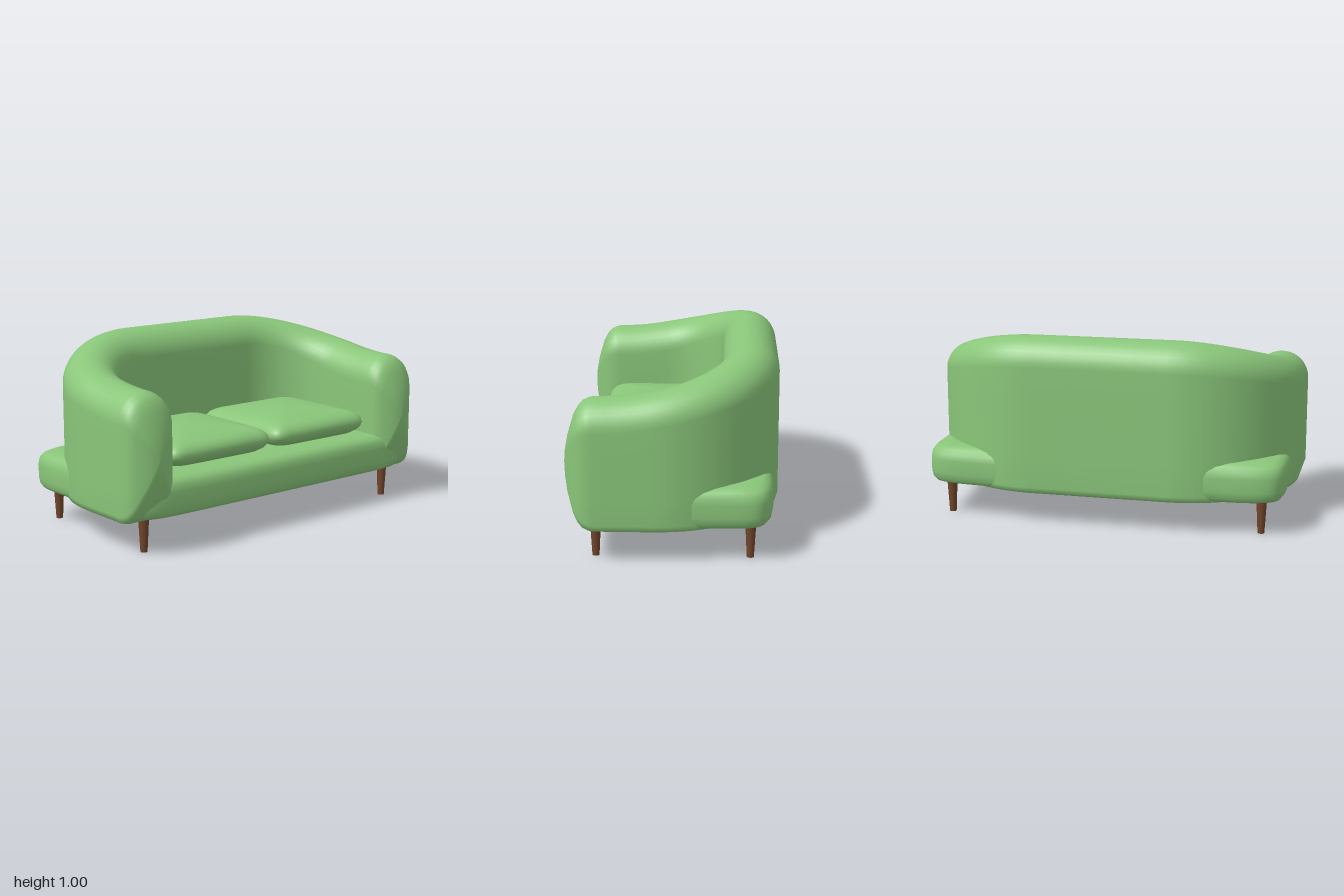
import * as THREE from 'three';

const fabric = new THREE.MeshStandardMaterial({ color: 0x8ac67a });
fabric.name = 'green fabric';
const wood = new THREE.MeshStandardMaterial({ color: 0x70452b });
wood.name = 'brown wood';

// Skins a list of closed rings (equal point counts) with smooth normals.
function loft(rings) {
  const n = rings[0].length;
  const index = [];
  for (let i = 0; i < rings.length - 1; i++) {
    for (let j = 0; j < n; j++) {
      const a = i * n + j, b = i * n + (j + 1) % n;
      index.push(a, b, b + n, a, b + n, a + n);
    }
  }
  const geo = new THREE.BufferGeometry();
  geo.setAttribute('position', new THREE.Float32BufferAttribute(rings.flat(2), 3));
  geo.setIndex(index);
  geo.computeVertexNormals();
  return geo;
}

// Padded block: soft-cornered plan, profile given as [inset, y] from bottom to top.
function paddedBlock(halfW, halfD, profile) {
  const soft = v => Math.sign(v) * Math.pow(Math.abs(v), 0.2);
  return loft(profile.map(([inset, y]) => {
    const ring = [];
    for (let k = 0; k < 72; k++) {
      const t = (k / 72) * Math.PI * 2;
      ring.push([(halfW - inset) * soft(Math.cos(t)), y, -(halfD - inset) * soft(Math.sin(t))]);
    }
    return ring;
  }));
}

// Wraparound backrest and arms: a round-topped section swept along a U path.
function wraparound() {
  const half = 0.148, bottom = 0.165, midY = 0.495;
  const armX = 0.852, frontZ = 0.39, cornerX = 0.367, cornerZ = 0.095, radius = armX - cornerX;

  const topAt = z => 0.825 + 0.175 * Math.pow(Math.max(0, (frontZ - z) / 0.78), 1.85);

  // Section points [outward offset, y], up the outside and down the inside
  const section = top => {
    const shoulder = top - half;
    const outer = [[0.11, bottom], [0.138, bottom + 0.01], [half, bottom + 0.04]];
    for (let k = 1; k < 4; k++) {
      outer.push([half, bottom + 0.04 + (shoulder - bottom - 0.04) * k / 4]);
    }
    const pts = [...outer];
    for (let k = 0; k <= 16; k++) {
      const a = (k / 16) * Math.PI;
      pts.push([half * Math.cos(a), shoulder + half * Math.sin(a)]);
    }
    return pts.concat(outer.reverse().map(([u, y]) => [-u, y]));
  };

  // Left half of the path as [x, z, outward x, outward z], then mirrored
  const path = [];
  for (let k = 0; k < 5; k++) path.push([-armX, frontZ + (cornerZ - frontZ) * k / 5, -1, 0]);
  for (let k = 0; k <= 18; k++) {
    const a = (k / 18) * Math.PI / 2;
    const ox = -Math.cos(a), oz = -Math.sin(a);
    path.push([-cornerX + radius * ox, cornerZ + radius * oz, ox, oz]);
  }
  path.push([-cornerX / 2, cornerZ - radius, 0, -1]);
  const mirrored = path.map(([x, z, ox, oz]) => [-x, z, -ox, oz]).reverse();
  const body = [...path, ...mirrored].map(([x, z, ox, oz]) =>
    section(topAt(z)).map(([u, y]) => [x + ox * u, y, z + oz * u]));

  // Bulging arm fronts: [scale, z]
  const dome = [[0, 0.54], [0.2, 0.534], [0.43, 0.52], [0.73, 0.49], [0.86, 0.468], [0.94, 0.445], [0.985, 0.415]];
  const cap = side => dome.map(([s, z]) => section(topAt(frontZ)).map(([u, y]) =>
    [side * armX + side * u * s, midY + (y - midY) * s, z]));

  return loft([...cap(-1), ...body, ...cap(1).reverse()]);
}

export function createModel() {
  const sofa = new THREE.Group();
  sofa.name = 'sofa';
  const add = (name, geometry, material, x = 0, y = 0, z = 0) => {
    const mesh = new THREE.Mesh(geometry, material);
    mesh.name = name;
    mesh.position.set(x, y, z);
    sofa.add(mesh);
  };

  add('backrestAndArms', wraparound(), fabric);

  // Seat base
  add('seatBase', paddedBlock(0.97, 0.508, [
    [0.508, 0.17], [0.12, 0.17], [0.05, 0.174], [0.02, 0.185], [0.006, 0.205], [0, 0.24], [0, 0.31],
    [0.006, 0.345], [0.022, 0.368], [0.05, 0.382], [0.1, 0.387], [0.508, 0.388],
  ]), fabric);

  // Domed seat cushions
  const cushion = paddedBlock(0.338, 0.338, [
    [0.338, 0.385], [0.1, 0.39], [0.05, 0.4], [0.02, 0.42], [0.005, 0.44], [0, 0.46], [0.005, 0.482],
    [0.022, 0.503], [0.05, 0.518], [0.1, 0.53], [0.17, 0.54], [0.25, 0.546], [0.338, 0.549],
  ]);
  add('leftCushion', cushion, fabric, 0.349, 0, 0.092);
  add('rightCushion', cushion, fabric, -0.349, 0, 0.092);

  // Tapered legs
  const leg = new THREE.CylinderGeometry(0.029, 0.018, 0.2, 20);
  for (const x of [-0.85, 0.85]) {
    for (const z of [-0.39, 0.39]) {
      add((z > 0 ? 'front' : 'back') + (x > 0 ? 'Left' : 'Right') + 'Leg', leg, wood, x, 0.1, z);
    }
  }
  return sofa;
}
